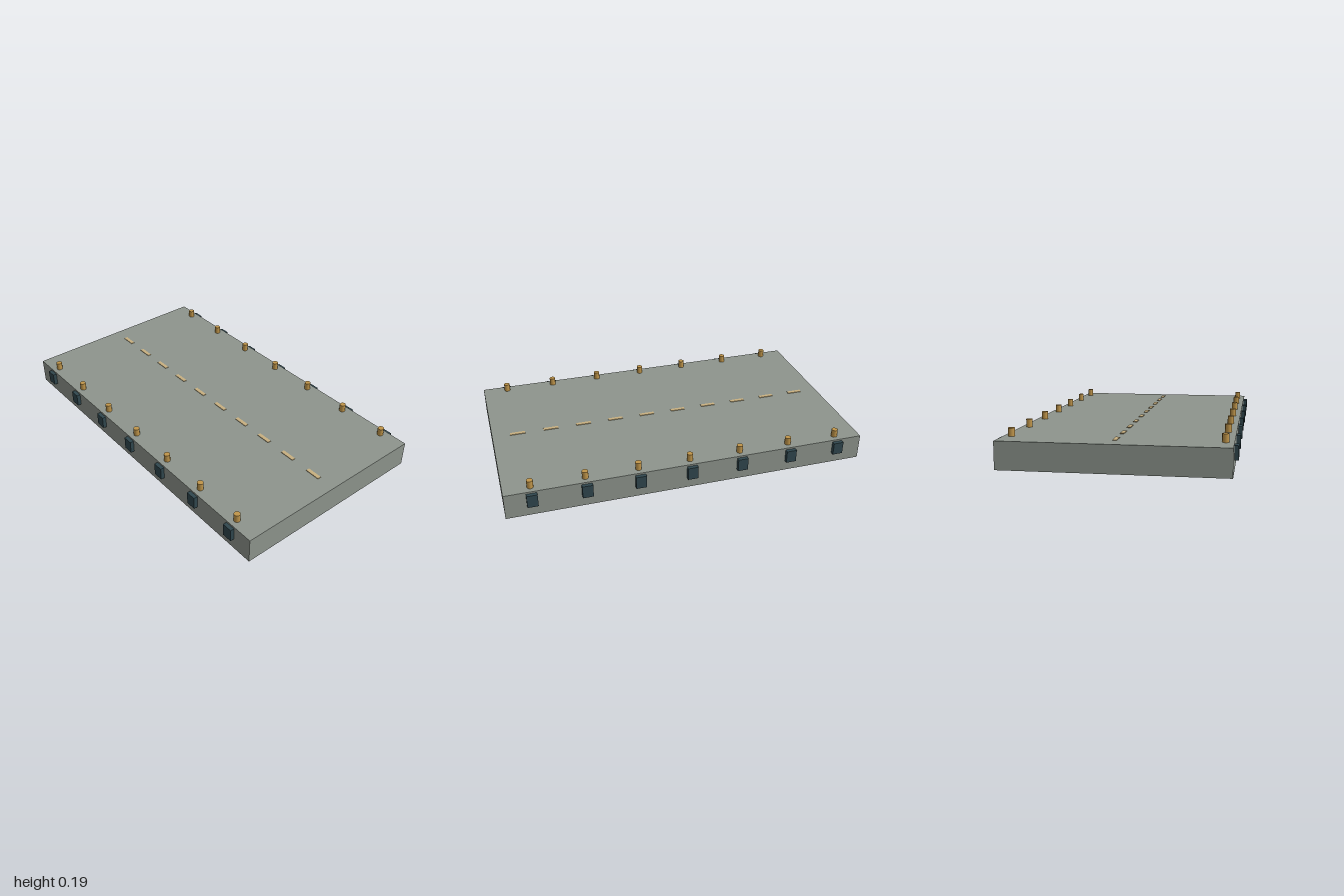
import * as THREE from 'three';

const paint = (name, color) => {
  const m = new THREE.MeshStandardMaterial({ color });
  m.name = name;
  return m;
};

export function createModel() {
  const concrete = paint('grey concrete', 0x8e958d);
  const rubber = paint('dark rubber', 0x30474e);
  const brass = paint('ochre metal', 0xc1964a);
  const linePaint = paint('sand line paint', 0xc8b080);

  const model = new THREE.Group();
  model.name = 'pier';
  const add = (name, geometry, material, x, y, z) => {
    const mesh = new THREE.Mesh(geometry, material);
    mesh.name = name;
    mesh.position.set(x, y, z);
    model.add(mesh);
  };

  // Deck slab
  const halfWidth = 0.5714, deckTop = 0.1429, endZ = 0.857;
  add('deck', new THREE.BoxGeometry(halfWidth * 2, deckTop, 2), concrete, 0, deckTop / 2, 0);

  // Bollards and fenders along both long edges
  const bollard = new THREE.CylinderGeometry(0.0171, 0.0171, 0.0429, 12);
  const fender = new THREE.BoxGeometry(0.0429, 0.0714, 0.0571);
  for (const side of [-1, 1]) {
    for (let i = 0; i < 7; i++) {
      const z = -endZ + (i * endZ) / 3;
      add('bollard', bollard, brass, side * 0.5286, deckTop + 0.0214, z);
      add('fender', fender, rubber, side * halfWidth, 0.0971, z);
    }
  }

  // Dashed centre line
  const dash = new THREE.BoxGeometry(0.0214, 0.0043, 0.0857);
  for (let i = 0; i < 10; i++) {
    add('centreDash', dash, linePaint, 0, deckTop + 0.0014, -endZ + (i * 2 * endZ) / 9);
  }

  return model;
}
